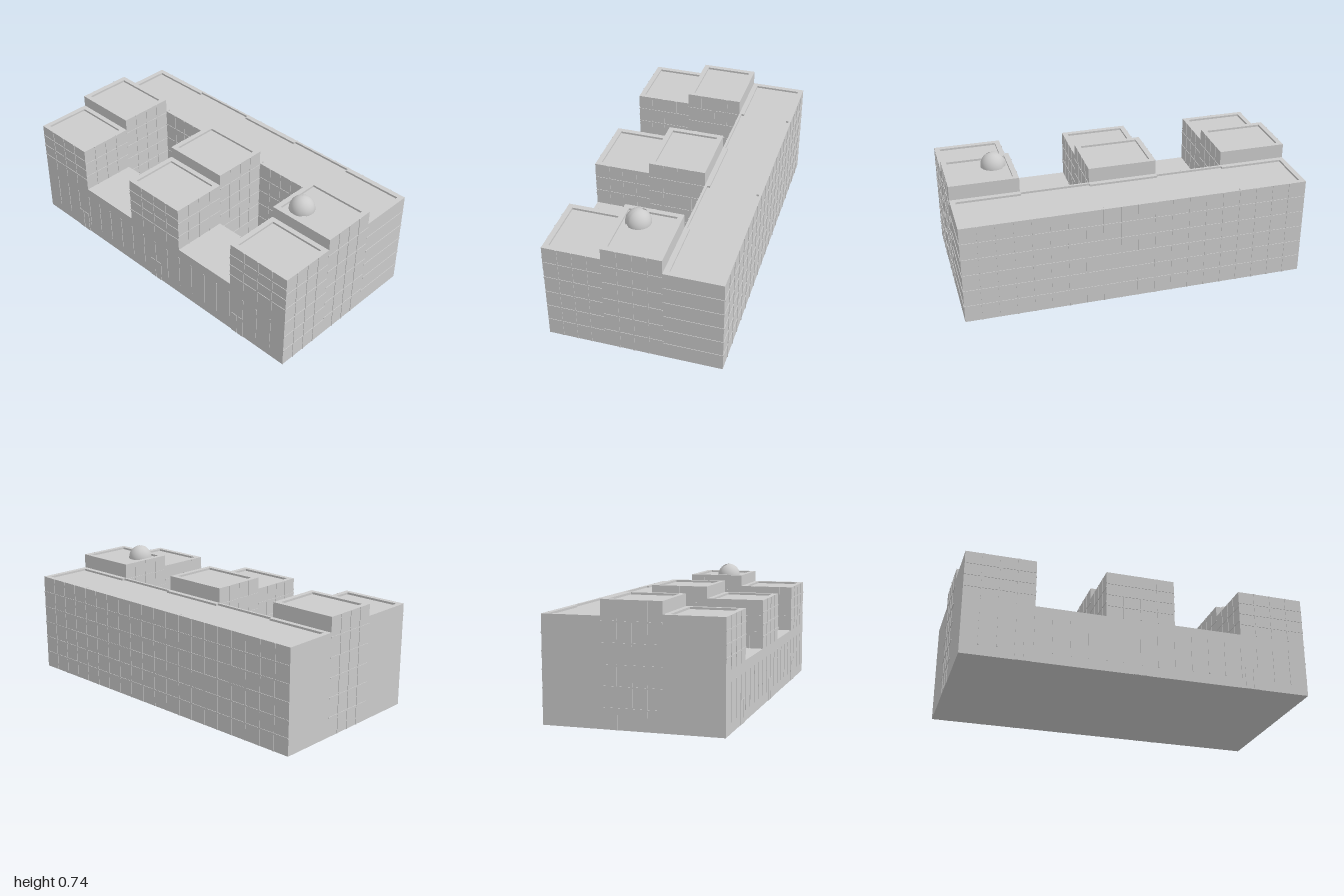
import * as THREE from 'three';

const grey = new THREE.MeshStandardMaterial({ color: 0xcccccc, flatShading: true });
const smooth = new THREE.MeshStandardMaterial({ color: 0xcccccc, side: THREE.DoubleSide });
const D = 0.003;     // relief of the facade ribs
const W = 0.008;     // rib width
const LIP = 0.012;   // parapet height
const LOW = 0.33, YARD = 0.1, SIDE = 0.607, MID = 0.675, LONG = 0.59;
const X = [-0.5 + D, -1 / 6, 1 / 6, 0.5 - D];

// Box given by its opposite corners
function box(parent, name, x0, x1, y0, y1, z0, z1) {
  const m = new THREE.Mesh(new THREE.BoxGeometry(x1 - x0, y1 - y0, z1 - z0), grey);
  m.position.set((x0 + x1) / 2, (y0 + y1) / 2, (z0 + z1) / 2);
  m.name = name;
  parent.add(m);
}

// Block with a raised parapet round a sunken roof
function block(parent, name, x0, x1, z0, z1, h, rim) {
  const g = new THREE.Group();
  g.name = name;
  box(g, 'walls', x0, x1, 0, h - LIP, z0, z1);
  const y = h - LIP;
  box(g, 'parapet', x0, x0 + rim, y, h, z0, z1);
  box(g, 'parapet', x1 - rim, x1, y, h, z0, z1);
  box(g, 'parapet', x0 + rim, x1 - rim, y, h, z0, z0 + rim);
  box(g, 'parapet', x0 + rim, x1 - rim, y, h, z1 - rim, z1);
  parent.add(g);
}

// Window ribs on a wall whose normal is sign * axis; u runs along the wall
function ribs(parent, axis, sign, at, u0, u1, y0, y1, cols, rows) {
  const g = new THREE.Group();
  g.name = 'windowGrid';
  const a = Math.min(at, at + sign * D), b = Math.max(at, at + sign * D);
  const bar = (p, q, r, s) => axis === 'x'
    ? box(g, 'rib', a, b, r, s, p, q)
    : box(g, 'rib', p, q, r, s, a, b);
  for (let i = 1; i < cols; i++) {
    const u = u0 + (u1 - u0) * i / cols;
    bar(u - W / 2, u + W / 2, y0, y1);
  }
  for (let j = 1; j < rows; j++) {
    const y = y0 + (y1 - y0) * j / rows;
    bar(u0, u1, y - W / 2, y + W / 2);
  }
  parent.add(g);
}

export function createModel() {
  const model = new THREE.Group();
  model.name = 'building';
  const end = 1 - D;

  // Long wing on the left side, with a wider parapet beside each tower
  const wing = new THREE.Group();
  wing.name = 'longWing';
  box(wing, 'walls', X[2], X[3], 0, LONG - LIP, -end, end);
  for (let i = 0; i < 5; i++) {
    const z0 = Math.max(-end, -1 + i * 0.4), z1 = Math.min(end, -0.6 + i * 0.4);
    const rim = i % 2 ? 0.014 : 0.03;
    box(wing, 'parapet', X[2], X[2] + rim, LONG - LIP, LONG, z0, z1);
    box(wing, 'parapet', X[3] - rim, X[3], LONG - LIP, LONG, z0, z1);
  }
  for (const s of [-1, 1]) {
    const z = s * (end - 0.015);
    box(wing, 'parapet', X[2] + 0.03, X[3] - 0.03, LONG - LIP, LONG, z - 0.015, z + 0.015);
  }
  ribs(wing, 'x', 1, X[3], -end, end, 0, LONG, 20, 6);
  ribs(wing, 'z', 1, end, X[2], X[3], 0, LONG, 1, 6);
  model.add(wing);

  // Three pairs of towers
  for (const zc of [-0.8, 0, 0.8]) {
    const z0 = Math.max(-end, zc - 0.2), z1 = Math.min(end, zc + 0.2);
    const pair = new THREE.Group();
    pair.name = 'towerPair';
    block(pair, 'sideTower', X[0], X[1], z0, z1, SIDE, 0.03);
    block(pair, 'middleTower', X[1], X[2], z0, z1, MID, 0.03);
    ribs(pair, 'x', -1, X[0], z0, z1, LOW, SIDE, 4, 4);
    for (const [s, z] of [[-1, z0], [1, z1]]) {
      const outer = Math.abs(z) > 0.9;
      // The rear wall of the side tower is blank
      if (!outer) ribs(pair, 'z', s, z, X[0], X[1], LOW, SIDE, 4, 3);
      else if (s > 0) ribs(pair, 'z', s, z, X[0], X[1], 0, SIDE, 4, 6);
      ribs(pair, 'z', s, z, X[1], X[2], outer ? 0 : YARD, MID, 4, 6);
    }
    model.add(pair);
  }

  // Low roofs and courtyards between the towers
  for (const zc of [-0.4, 0.4]) {
    box(model, 'lowRoof', X[0], X[1], 0, LOW, zc - 0.2, zc + 0.2);
    box(model, 'courtyard', X[1], X[2], 0, YARD, zc - 0.2, zc + 0.2);
    ribs(model, 'x', -1, X[2], zc - 0.2, zc + 0.2, YARD, LONG, 5, 5);
  }

  // Street front: upright ribs and three double doors
  ribs(model, 'x', -1, X[0], -end, end, 0.06, 0.27, 20, 1);
  for (const z of [-0.66, 0, 0.66]) {
    for (const s of [-1, 1]) {
      const c = z + s * 0.024;
      box(model, 'door', X[0] - D, X[0], 0, 0.13, c - 0.02, c + 0.02);
    }
  }

  // Observatory dome with a slit running across it
  const dome = new THREE.Group();
  dome.name = 'dome';
  const core = new THREE.Mesh(
    new THREE.SphereGeometry(0.067, 32, 12, 0, Math.PI * 2, 0, Math.PI / 2), smooth);
  core.name = 'domeCore';
  dome.add(core);
  const gap = 0.32;
  for (let i = 0; i < 2; i++) {
    const start = 0.87 + i * Math.PI + gap / 2;
    const shell = new THREE.Mesh(
      new THREE.SphereGeometry(0.072, 20, 12, start, Math.PI - gap, 0, Math.PI / 2), smooth);
    shell.name = 'domeShell';
    dome.add(shell);
  }
  dome.position.set(-0.055, MID - LIP, 0.71);
  dome.scale.y = 1.1;
  model.add(dome);

  return model;
}
